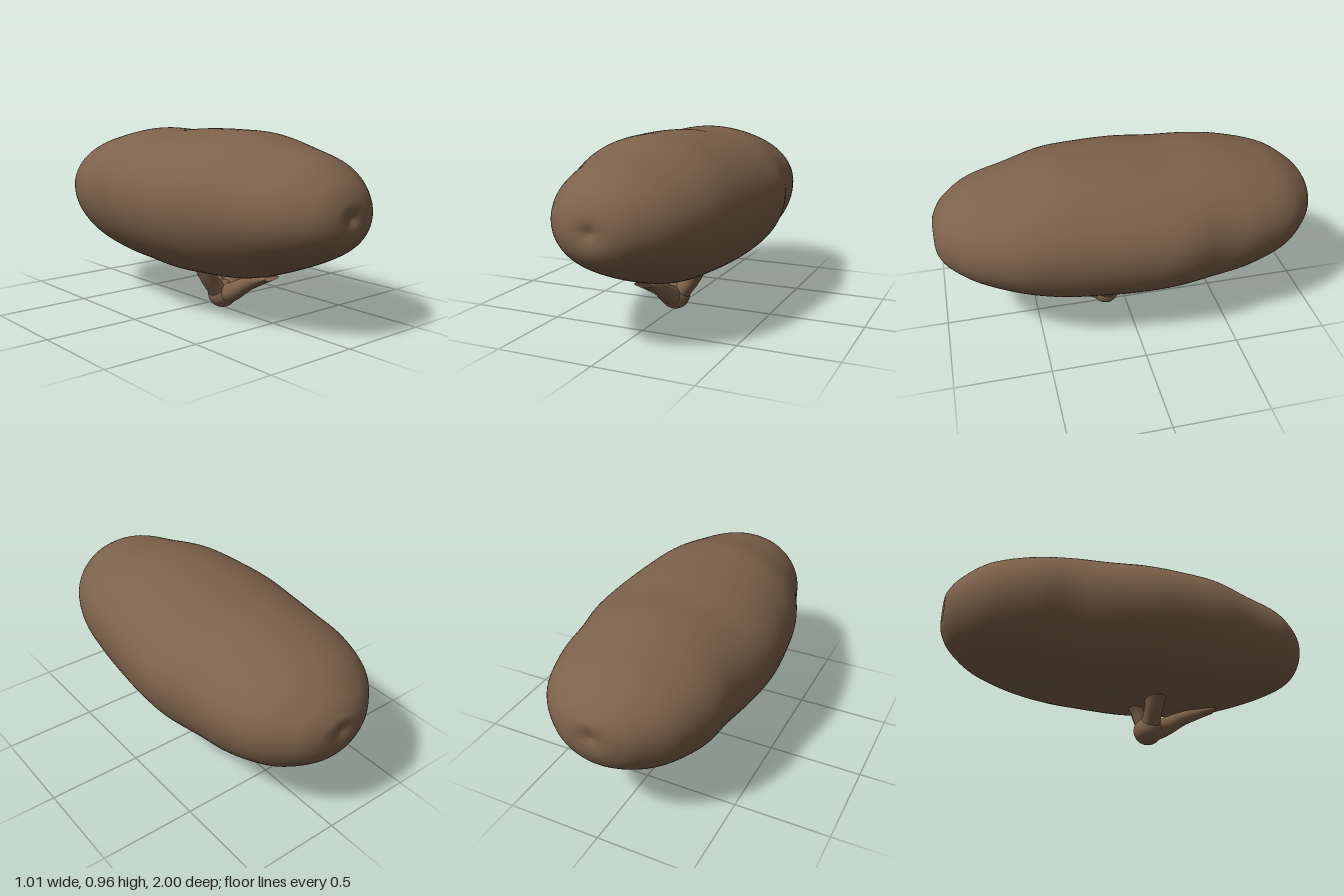
import * as THREE from 'three';

// Skin a list of closed rings (each an array of Vector3) into one smooth surface
function loft(rings) {
  const n = rings[0].length;
  const index = [];
  for (let i = 0; i < rings.length - 1; i++) {
    for (let j = 0; j < n; j++) {
      const k = (j + 1) % n;
      const a = i * n + j, b = i * n + k, c = a + n, d = b + n;
      index.push(a, b, c, b, d, c);
    }
  }
  const geo = new THREE.BufferGeometry().setFromPoints(rings.flat());
  geo.setIndex(index);
  geo.computeVertexNormals();
  return geo;
}

// Smooth curve through 3-number rows, stepped evenly from row to row
const spline = (rows) =>
  new THREE.CatmullRomCurve3(rows.map((r) => new THREE.Vector3(...r)), false, 'catmullrom', 0.5);

// Body stations: z, extent to -x, extent to +x, top y, bottom y
const BODY = [
  [-0.985, 0, 0, 0.60, 0.60],
  [-0.998, 0.07, 0.07, 0.66, 0.545],
  [-0.985, 0.14, 0.15, 0.70, 0.48],
  [-0.93, 0.235, 0.245, 0.765, 0.40],
  [-0.80, 0.36, 0.36, 0.85, 0.31],
  [-0.60, 0.44, 0.43, 0.905, 0.24],
  [-0.40, 0.455, 0.455, 0.94, 0.203],
  [-0.20, 0.49, 0.50, 0.94, 0.198],
  [0.00, 0.507, 0.497, 0.955, 0.19],
  [0.20, 0.49, 0.48, 0.96, 0.20],
  [0.40, 0.455, 0.455, 0.955, 0.22],
  [0.60, 0.385, 0.42, 0.91, 0.28],
  [0.80, 0.315, 0.335, 0.86, 0.36],
  [0.93, 0.215, 0.22, 0.78, 0.43],
  [0.985, 0.13, 0.13, 0.705, 0.49],
  [0.998, 0.06, 0.06, 0.65, 0.55],
  [0.982, 0, 0, 0.60, 0.60],
];

function bodyGeometry() {
  const across = spline(BODY.map((s) => [s[1], s[2], s[0]]));
  const upright = spline(BODY.map((s) => [s[3], s[4], s[0]]));
  const steps = (BODY.length - 1) * 6, sides = 96, midY = 0.6;
  const rings = [];
  for (let i = 0; i <= steps; i++) {
    const w = across.getPoint(i / steps), h = upright.getPoint(i / steps);
    const ring = [];
    for (let j = 0; j < sides; j++) {
      const a = (j / sides) * Math.PI * 2, c = Math.cos(a), s = Math.sin(a);
      ring.push(new THREE.Vector3(
        c * (c > 0 ? w.y : w.x),
        midY + s * (s > 0 ? h.x - midY : midY - h.y),
        w.z));
    }
    rings.push(ring);
  }
  return loft(rings);
}

// Tapered leg reaching out from the hub along a heading; rows: reach, y, half width, half depth
function legGeometry(heading, rows) {
  const path = spline(rows.map((r) => [r[0], r[1], 0]));
  const size = spline(rows.map((r) => [r[2], r[3], 0]));
  const out = new THREE.Vector3(Math.sin(heading), 0, Math.cos(heading));
  const up = new THREE.Vector3(0, 1, 0);
  const side = new THREE.Vector3().crossVectors(up, out);
  const steps = 24, sides = 28, rings = [];
  for (let i = 0; i <= steps; i++) {
    const p = path.getPoint(i / steps), t = path.getTangent(i / steps), q = size.getPoint(i / steps);
    const along = out.clone().multiplyScalar(t.x).addScaledVector(up, t.y);
    const normal = new THREE.Vector3().crossVectors(along, side);
    const centre = out.clone().multiplyScalar(p.x).addScaledVector(up, p.y);
    const ring = [];
    for (let j = 0; j < sides; j++) {
      const a = (j / sides) * Math.PI * 2;
      ring.push(centre.clone()
        .addScaledVector(side, Math.cos(a) * q.x)
        .addScaledVector(normal, Math.sin(a) * q.y));
    }
    rings.push(ring);
  }
  return loft(rings);
}

export function createModel() {
  const model = new THREE.Group();
  model.name = 'lumpyBodyWithFoot';

  const brown = new THREE.MeshStandardMaterial({ color: 0x7d624b });
  brown.name = 'earthBrown';
  brown.side = THREE.DoubleSide;

  const add = (parent, geo, name) => {
    const mesh = new THREE.Mesh(geo, brown);
    mesh.name = name;
    parent.add(mesh);
    return mesh;
  };

  // Long rounded body with a dimple at each end
  add(model, bodyGeometry(), 'body');

  // Rooted foot: a rounded hub and four legs spreading up into the body
  const foot = new THREE.Group();
  foot.name = 'foot';
  foot.position.z = 0.112;
  model.add(foot);

  const hub = add(foot, new THREE.SphereGeometry(0.075, 32, 24), 'hub');
  hub.position.y = 0.075;
  hub.scale.x = 1.08;

  add(foot, legGeometry(0, [
    [0, 0.065, 0.06, 0.055], [0.09, 0.105, 0.05, 0.05], [0.19, 0.162, 0.038, 0.038],
    [0.28, 0.2, 0.04, 0.028], [0.375, 0.232, 0.05, 0.012],
  ]), 'frontLeg');

  for (const [sign, name] of [[1, 'leftLeg'], [-1, 'rightLeg']]) {
    add(foot, legGeometry(sign * Math.PI / 2, [
      [0, 0.065, 0.06, 0.06], [0.06, 0.125, 0.048, 0.045],
      [0.105, 0.185, 0.05, 0.042], [0.14, 0.27, 0.065, 0.05],
    ]), name);
  }

  add(foot, legGeometry(Math.PI, [
    [0, 0.065, 0.05, 0.05], [0.035, 0.12, 0.035, 0.038],
    [0.06, 0.175, 0.034, 0.034], [0.095, 0.24, 0.045, 0.04],
  ]), 'backLeg');

  return model;
}
